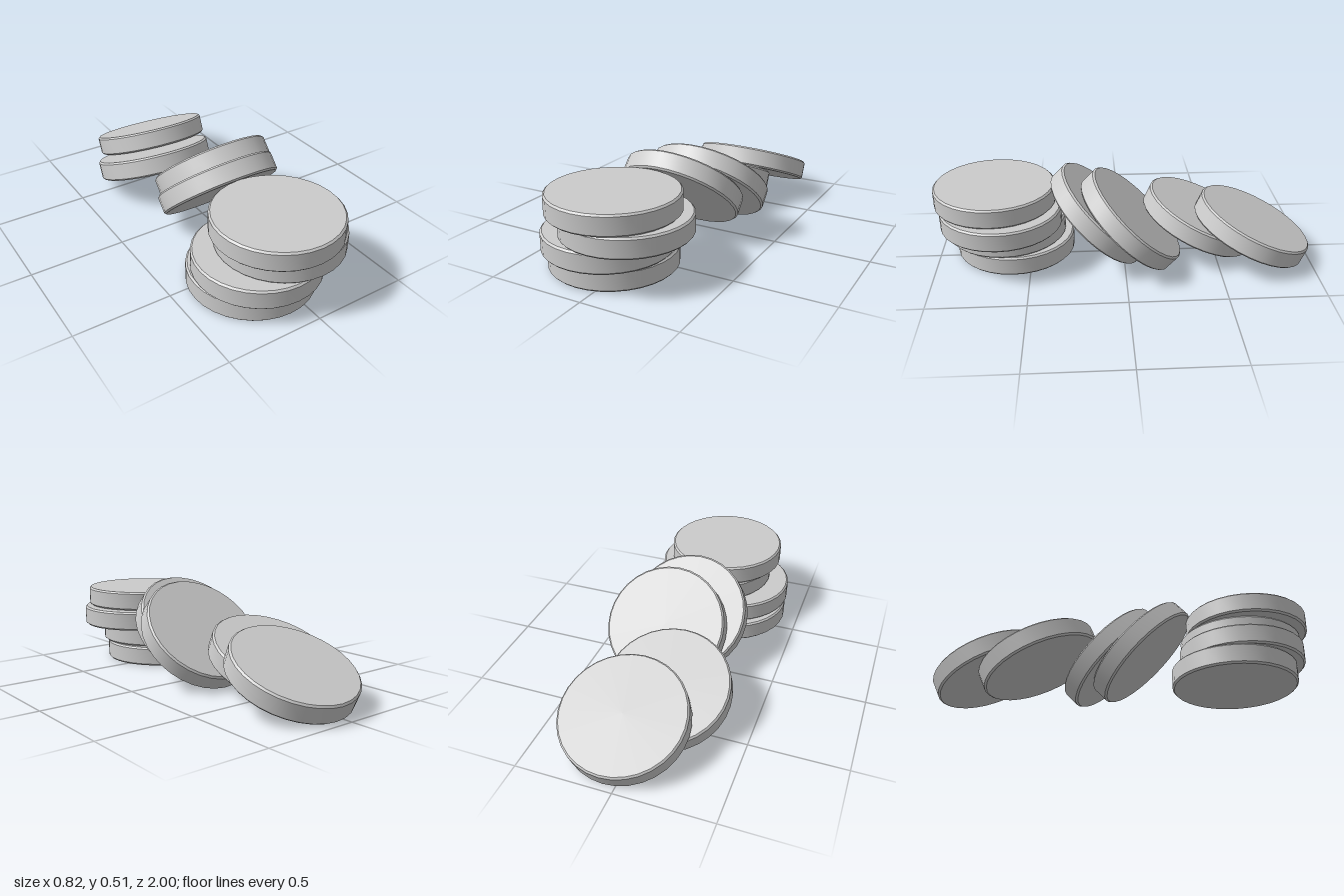
import * as THREE from 'three';
import { toCreasedNormals } from 'three/addons/utils/BufferGeometryUtils.js';

const RADIUS = 0.32, HALF = 0.052, BEVEL = 0.009;

// Round disc with a small chamfer on both rims
function discGeometry() {
  const profile = [
    [0, -HALF], [RADIUS - BEVEL, -HALF], [RADIUS, -HALF + BEVEL],
    [RADIUS, HALF - BEVEL], [RADIUS - BEVEL, HALF], [0, HALF],
  ].map(([r, y]) => new THREE.Vector2(r, y));
  return toCreasedNormals(new THREE.LatheGeometry(profile, 32), 0.6);
}

export function createModel() {
  const model = new THREE.Group();
  model.name = 'discs';
  const geometry = discGeometry();
  const material = new THREE.MeshStandardMaterial({ color: 0xcccccc });

  // A row of discs: centre x, y, z of each, all leaning by the same angle
  function addDiscs(name, leanDegrees, centres) {
    const group = new THREE.Group();
    group.name = name;
    centres.forEach(([x, y, z], i) => {
      const disc = new THREE.Mesh(geometry, material);
      disc.name = `${name}Disc${i + 1}`;
      disc.position.set(x, y, z);
      disc.rotation.x = -THREE.MathUtils.degToRad(leanDegrees);
      group.add(disc);
    });
    model.add(group);
  }

  // Upright stack at the front
  addDiscs('stack', 0, [
    [-0.095, 0.057, 0.59], [-0.095, 0.162, 0.635],
    [0.023, 0.267, 0.65], [-0.025, 0.373, 0.68],
  ]);
  // Pair leaning steeply on the stack
  addDiscs('steep', 43.7, [[0.02, 0.258, 0.12], [0.09, 0.258, -0.038]]);
  // Pair fallen almost flat at the back
  addDiscs('fallen', 24, [[-0.061, 0.179, -0.424], [0.061, 0.179, -0.69]]);

  return model;
}
